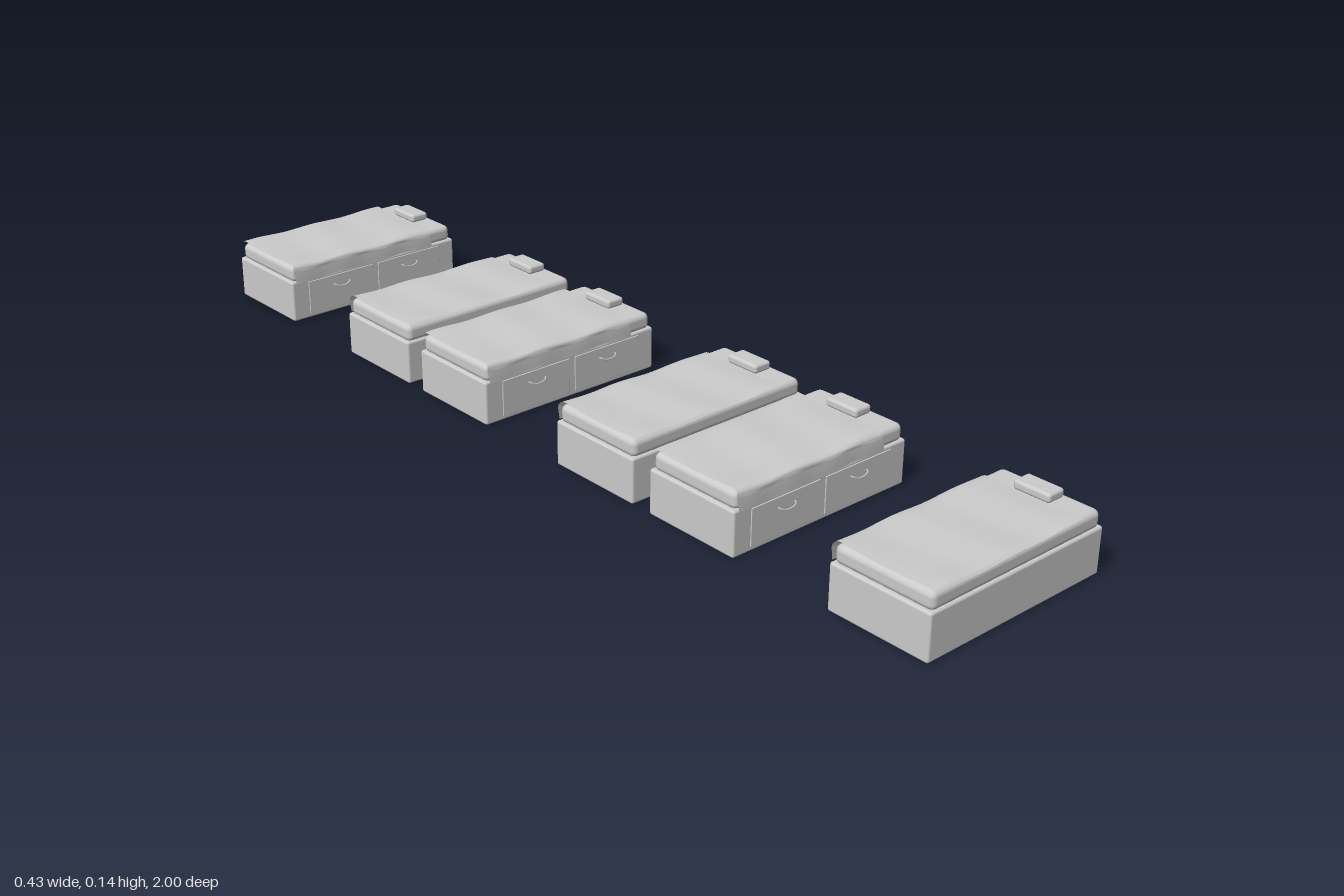
import * as THREE from 'three';
import { RoundedBoxGeometry } from 'three/addons/geometries/RoundedBoxGeometry.js';

const grey = new THREE.MeshStandardMaterial({ color: 0xcccccc });
const cloth = new THREE.MeshStandardMaterial({ color: 0xcccccc, side: THREE.DoubleSide });

function add(parent, name, geometry, x = 0, y = 0, z = 0, material = grey) {
  const mesh = new THREE.Mesh(geometry, material);
  mesh.name = name;
  mesh.position.set(x, y, z);
  parent.add(mesh);
  return mesh;
}

const box = (w, h, d, r) => new RoundedBoxGeometry(w, h, d, 3, r);

// Wavy sheet: flat over the mattress, hanging down on the drawer side
function blanketGeometry(side) {
  const profile = new THREE.CatmullRomCurve3([
    [0.122, -0.106], [0.125, -0.1], [0.1255, -0.05], [0.1255, 0.05],
    [0.125, 0.096], [0.12, 0.105], [0.108, 0.107], [0.088, 0.108],
  ].map(([y, z]) => new THREE.Vector3(0, y, z)));
  const geometry = new THREE.PlaneGeometry(1, 1, 40, 40);
  const pos = geometry.attributes.position;
  for (let i = 0; i < pos.count; i++) {
    const u = pos.getX(i) + 0.5;
    const v = pos.getY(i) + 0.5;
    const p = profile.getPoint(v);
    const x = -0.206 + 0.357 * u + 0.002 * Math.sin(v * 14);
    const wave = 0.0013 * Math.sin(u * 15 + v * 3) + 0.0008 * Math.sin(v * 13 - u * 5);
    pos.setXYZ(i, x, p.y + wave, side * (p.z + (v > 0.8 ? 0.0008 * Math.sin(u * 22) : 0)));
  }
  geometry.computeVertexNormals();
  return geometry;
}

// Bowed pull with two feet
function handleGeometry(side) {
  const path = new THREE.CatmullRomCurve3([
    [-0.02, 0.003, -0.001], [-0.018, 0.002, 0.005], [-0.009, -0.002, 0.007],
    [0.009, -0.002, 0.007], [0.018, 0.002, 0.005], [0.02, 0.003, -0.001],
  ].map(([x, y, z]) => new THREE.Vector3(x, y, z * side)));
  return new THREE.TubeGeometry(path, 20, 0.0016, 6);
}

// One bed; side is the z direction its drawers face
function makeBed(side) {
  const bed = new THREE.Group();
  bed.name = 'bed';
  add(bed, 'base', box(0.427, 0.09, 0.211, 0.005), 0, 0.045);
  add(bed, 'mattress', box(0.416, 0.036, 0.205, 0.012), 0, 0.104);
  add(bed, 'pillow', box(0.041, 0.018, 0.076, 0.006), 0.173, 0.131);
  add(bed, 'blanket', blanketGeometry(side), 0, 0, 0, cloth);
  for (const x of [-0.09, 0.09]) {
    add(bed, 'drawer', box(0.166, 0.074, 0.006, 0.001), x, 0.046, side * 0.1045);
    add(bed, 'drawerHandle', handleGeometry(side), x, 0.06, side * 0.1075);
  }
  return bed;
}

export function createModel() {
  const model = new THREE.Group();
  model.name = 'bedRow';
  // Three pairs in a row, drawers facing each other across the aisles
  const places = [[-0.894, 1], [-0.467, -1], [-0.212, 1], [0.212, -1], [0.467, 1], [0.894, -1]];
  for (const [z, side] of places) {
    const bed = makeBed(side);
    bed.position.z = z;
    model.add(bed);
  }
  return model;
}
